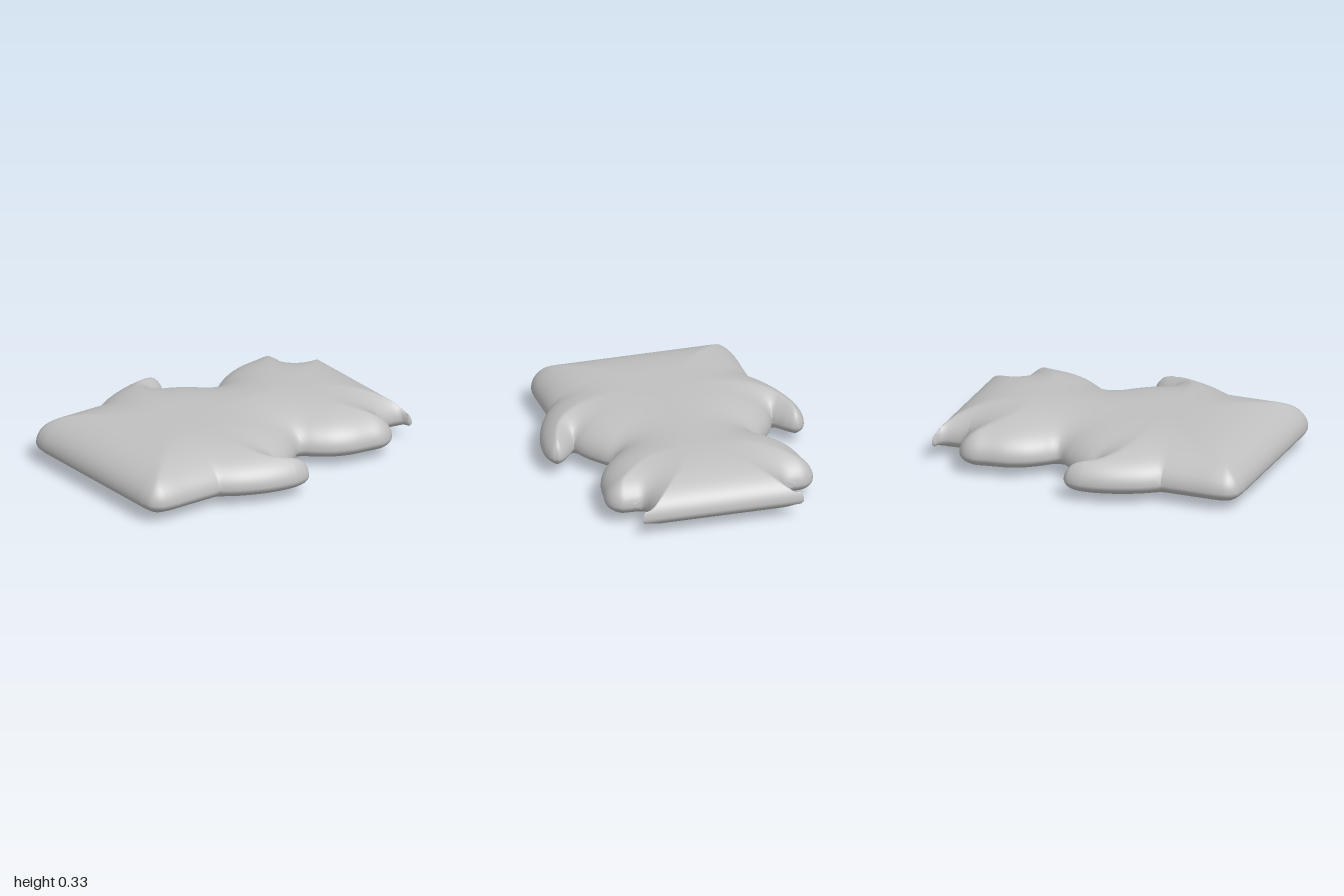
import * as THREE from 'three';
import { mergeVertices, mergeGeometries } from 'three/addons/utils/BufferGeometryUtils.js';

// Smooth half-outline curves as [x, z] points, z rising along each
const curve = (pts, n) => new THREE.CatmullRomCurve3(pts.map(([x, z]) => new THREE.Vector3(x, 0, z)), false, 'centripetal')
  .getPoints(n).map((p) => [p.x, p.z]);

const NOTCH = 0.06, HIP = 0.52;
const upperEdge = curve([[0.5, -0.998], [0.49, -0.98], [0.45, -0.97], [0.43, -0.94], [0.43, -0.84], [0.45, -0.81],
  [0.52, -0.803], [0.575, -0.795], [0.62, -0.76], [0.642, -0.7], [0.63, -0.6], [0.61, -0.48], [0.565, -0.37],
  [0.5, -0.28], [0.445, -0.21], [0.5, -0.135], [0.555, -0.06], [0.595, 0.01], [0.615, NOTCH]], 110);
const armInner = curve([[0.745, -0.06], [0.715, -0.05], [0.675, -0.015], [0.64, 0.03], [0.615, NOTCH]], 24);
const armOuter = curve([[0.745, -0.06], [0.78, -0.035], [0.802, 0.03], [0.802, 0.1], [0.785, 0.2], [0.75, 0.31],
  [0.7, 0.42], [0.637, HIP]], 50);
const lowerEdge = curve([[0.637, HIP], [0.637, 0.7], [0.635, 0.87], [0.618, 0.94], [0.575, 0.985], [0.5, 1]], 40);
const seam = [[0.615, NOTCH], [0.637, HIP]];

const outline = [[0, -1], [0.5, -1], ...upperEdge, ...armInner.slice().reverse(), ...armOuter, ...lowerEdge, [0, 1]];
const bodyEdge = [[0.5, -1], ...upperEdge, ...seam, ...lowerEdge];
const armSeam = [...armInner, ...seam];

// x of a curve at the given z
function xAt(line, z) {
  for (let i = 1; i < line.length; i++) {
    const [x0, z0] = line[i - 1], [x1, z1] = line[i];
    if (z <= z1 && z1 > z0) return x0 + (x1 - x0) * THREE.MathUtils.clamp((z - z0) / (z1 - z0), 0, 1);
  }
  return line[line.length - 1][0];
}

// Distance from a point to the outline
function edgeDistance(x, z) {
  let best = Infinity;
  for (let i = 1; i < outline.length; i++) {
    const [ax, az] = outline[i - 1], dx = outline[i][0] - ax, dz = outline[i][1] - az;
    const len = dx * dx + dz * dz || 1e-12;
    const t = THREE.MathUtils.clamp(((x - ax) * dx + (z - az) * dz) / len, 0, 1);
    best = Math.min(best, Math.hypot(x - ax - t * dx, z - az - t * dz));
  }
  return best;
}

// Pillow profile: steep at the rim, flat in the middle
function puff(x, z) {
  const d = edgeDistance(Math.abs(x), z);
  if (d < 1e-5) return 0;
  const t = 1 - Math.min(d / 0.6, 1);
  return Math.sqrt(1 - t * t * t);
}

// Rows of the surface, closer together at the ends, ears and arm tips
const rowSet = [NOTCH, HIP, -0.06];
for (let i = 0; i <= 150; i++) rowSet.push(-Math.cos(Math.PI * i / 150));
for (let i = 1; i <= 12; i++) rowSet.push(-0.06 + 0.0006 * i * i, -0.815 + i * 0.002);
const rows = rowSet.sort((a, b) => a - b).filter((z, i, all) => i === 0 || z - all[i - 1] > 1e-6);

// Top and bottom skins between two side curves
function skin(zs, left, right, cols) {
  const pos = [], index = [], w = cols + 1, size = zs.length * w;
  const lower = [];
  for (const z of zs) {
    const a = left(z), b = right(z);
    for (let i = 0; i <= cols; i++) {
      const x = (a + b) / 2 - (b - a) / 2 * Math.cos(Math.PI * i / cols);
      const h = puff(x, z);
      pos.push(x, 0.12 + 0.213 * h, z);
      lower.push(x, 0.12 - 0.12 * h, z);
    }
  }
  for (let r = 0; r < zs.length - 1; r++) {
    for (let i = 0; i < cols; i++) {
      const a = r * w + i, b = a + w;
      index.push(a, b, a + 1, b, b + 1, a + 1);
      index.push(size + a, size + a + 1, size + b, size + b, size + a + 1, size + b + 1);
    }
  }
  const g = new THREE.BufferGeometry();
  g.setAttribute('position', new THREE.Float32BufferAttribute(pos.concat(lower), 3));
  g.setIndex(index);
  return g;
}

export function createModel() {
  const group = new THREE.Group();
  const grey = new THREE.MeshStandardMaterial({ color: 0xc0c0c0 });
  grey.name = 'plain grey';

  // Body with ears, plus two arm lobes welded along the seams
  const armRows = rows.filter((z) => z >= -0.06 && z <= HIP);
  const parts = [
    skin(rows, (z) => -xAt(bodyEdge, z), (z) => xAt(bodyEdge, z), 72),
    skin(armRows, (z) => xAt(armSeam, z), (z) => xAt(armOuter, z), 20),
    skin(armRows, (z) => -xAt(armOuter, z), (z) => -xAt(armSeam, z), 20),
  ];
  const geometry = mergeVertices(mergeGeometries(parts), 1e-5);
  geometry.computeVertexNormals();

  const mesh = new THREE.Mesh(geometry, grey);
  mesh.name = 'puffyBody';
  group.add(mesh);
  return group;
}
